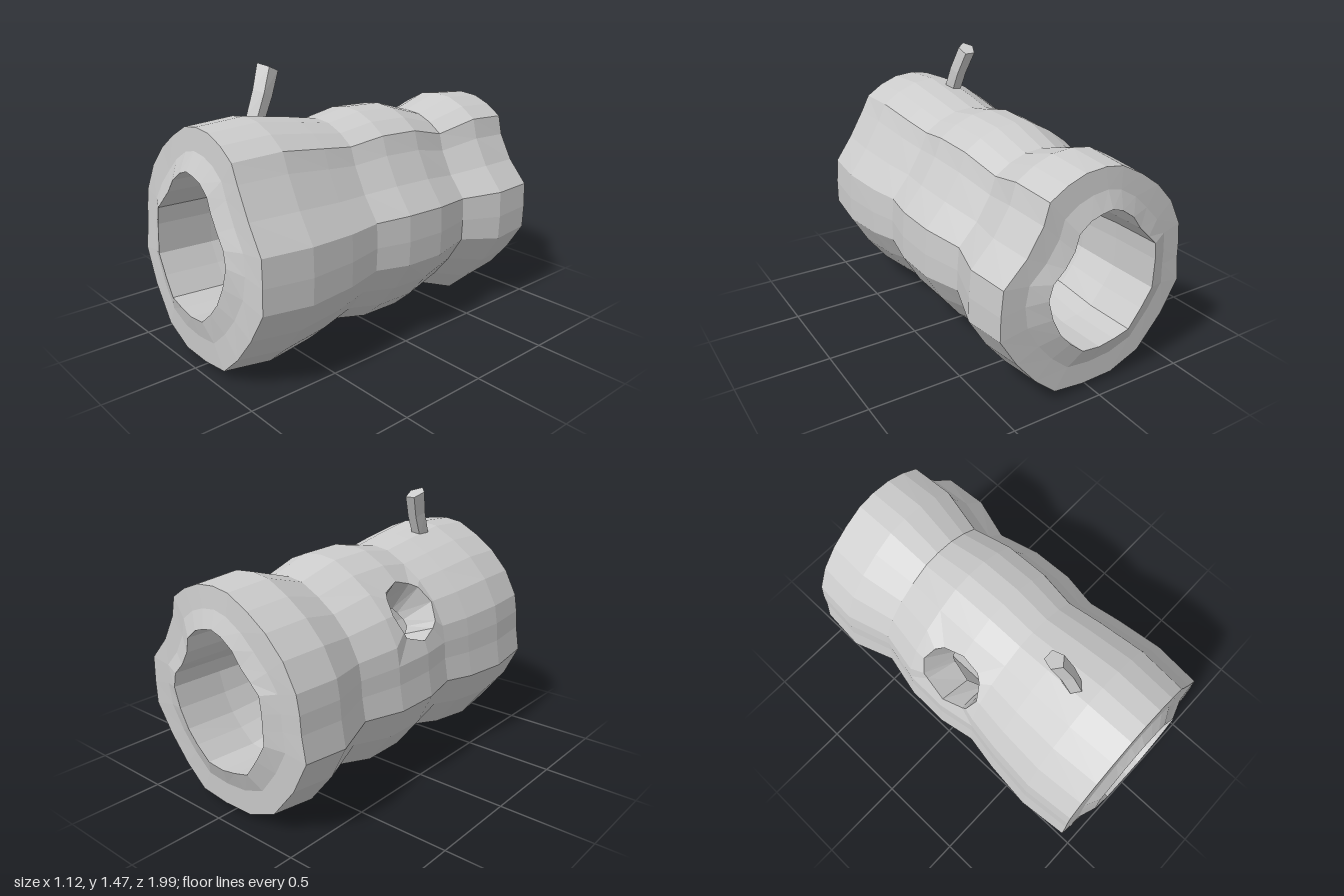
import * as THREE from 'three';

// Cross-section columns: outer x, outer y, inner x, inner y (anticlockwise from the top)
const COLS = [
  [0, 1.23, -.02, 1.02], [-.1, 1.215, -.08, 1], [-.22, 1.15, -.15, .95], [-.33, 1.07, -.2, .88],
  [-.43, .96, -.26, .82], [-.5, .82, -.31, .77], [-.515, .72, -.32, .68], [-.52, .62, -.32, .6],
  [-.54, .48, -.32, .52], [-.45, .3, -.26, .42], [-.31, .12, -.19, .32], [-.14, .045, -.1, .295],
  [.04, .04, -.01, .28], [.21, .06, .09, .29], [.33, .17, .17, .36], [.44, .31, .23, .43],
  [.535, .47, .28, .53], [.535, .6, .31, .64], [.525, .74, .29, .72], [.43, .88, .24, .79],
  [.345, 1.03, .19, .87], [.3, 1.12, .16, .94], [.21, 1.18, .1, .99], [.11, 1.22, .04, 1.01],
];
// Rings along the log: z, width scale, height scale, centre height
const RINGS = [
  [.94, 1, 1, .635], [.67, 1.045, 1.046, .622], [.41, .995, .987, .617],
  [.22, .935, .916, .625], [.02, 1, .983, .62], [-.22, .99, .979, .613],
  [-.455, .89, .87, .607], [-.69, 1.03, 1.004, .598], [-.935, 1, .962, .603],
];

function ringPoints([z, sx, sy, cy], inner, bulge = 0) {
  const damp = inner ? 0.5 : 1;
  return COLS.map((c, i) => {
    const [x, y] = inner ? [c[2], c[3]] : [c[0], c[1]];
    // the groove on the upper left gets deeper towards the back
    const groove = i === 19 || i === 20 ? 1 - 0.05 * (0.94 - z) / 1.88 : 1;
    const px = x * (1 + (sx - 1) * damp) * groove;
    const py = cy + (y - 0.635) * (1 + (sy - 1) * damp) * groove;
    return new THREE.Vector3(px, py, z + bulge - 0.036 * (py - 0.62));
  });
}

function buildLog() {
  const pos = [];
  const tri = (...p) => p.forEach((v) => pos.push(v.x, v.y, v.z));
  const quad = (a, b, c, d) => { tri(a, b, c); tri(a, c, d); };
  const n = COLS.length;

  // closed loop of rings: outer bark, front end, inner wall, back end
  const outer = RINGS.map((r) => ringPoints(r, false));
  const inner = RINGS.map((r, i) => ringPoints(r, true, i === 0 ? 0.045 : i === 8 ? -0.045 : 0));
  const middle = (r, dz) => outer[r].map((p, i) => {
    const m = p.clone().lerp(inner[r][i], 0.55);
    m.z = p.z + dz;
    return m;
  });
  const loop = [...outer.slice().reverse(), middle(0, 0.008), ...inner, middle(8, -0.008)];

  // cells left out for the knot hole
  const inHole = (k, c) => c >= 2 && c < 6 && ((k >= 3 && k < 5) || (k >= 13 && k < 15));
  loop.forEach((ring, k) => {
    const next = loop[(k + 1) % loop.length];
    for (let c = 0; c < n; c++) {
      if (inHole(k, c)) continue;
      const e = (c + 1) % n;
      quad(ring[c], ring[e], next[e], next[c]);
    }
  });

  // knot hole: collar outside, tunnel through the wall, collar inside
  const border = (rings) => [
    ...[2, 3, 4, 5, 6].map((c) => rings[5][c]), rings[4][6],
    ...[6, 5, 4, 3, 2].map((c) => rings[3][c]), rings[4][2],
  ];
  const along = new THREE.Vector3(0.65, 0.76, 0);
  const rim = (rings, ru, rw) => {
    const centre = rings[4][4];
    return border(rings).map((p) => {
      const d = p.clone().sub(centre);
      const s = Math.min(0.93, 1 / Math.hypot(d.dot(along) / ru, d.z / rw));
      return centre.clone().addScaledVector(d, s);
    });
  };
  const hole = [border(outer), rim(outer, 0.17, 0.18), rim(inner, 0.12, 0.13), border(inner)];
  for (let k = 0; k < 3; k++) {
    hole[k].forEach((p, i) => {
      const j = (i + 1) % hole[k].length;
      quad(p, hole[k][j], hole[k + 1][j], hole[k + 1][i]);
    });
  }

  const geo = new THREE.BufferGeometry();
  geo.setAttribute('position', new THREE.Float32BufferAttribute(pos, 3));
  geo.computeVertexNormals();
  return geo;
}

// Short broken twig, slightly bent, with a slanted end
function buildTwig() {
  const geo = new THREE.CylinderGeometry(0.06, 0.054, 0.27, 5, 2);
  geo.rotateX(-0.42);
  const p = geo.attributes.position;
  for (let i = 0; i < p.count; i++) {
    const t = p.getY(i) / 0.27 + 0.5;
    p.setX(i, p.getX(i) * 0.82 - 0.04 * Math.max(0, t) ** 2);
  }
  geo.translate(-0.075, 1.325, 0.48);
  geo.computeVertexNormals();
  return geo;
}

export function createModel() {
  const group = new THREE.Group();
  group.name = 'hollowLog';
  const material = new THREE.MeshStandardMaterial({ color: 0xcccccc, flatShading: true });
  const add = (name, geo) => {
    const mesh = new THREE.Mesh(geo, material);
    mesh.name = name;
    group.add(mesh);
  };
  add('logShell', buildLog());
  add('twig', buildTwig());
  return group;
}
